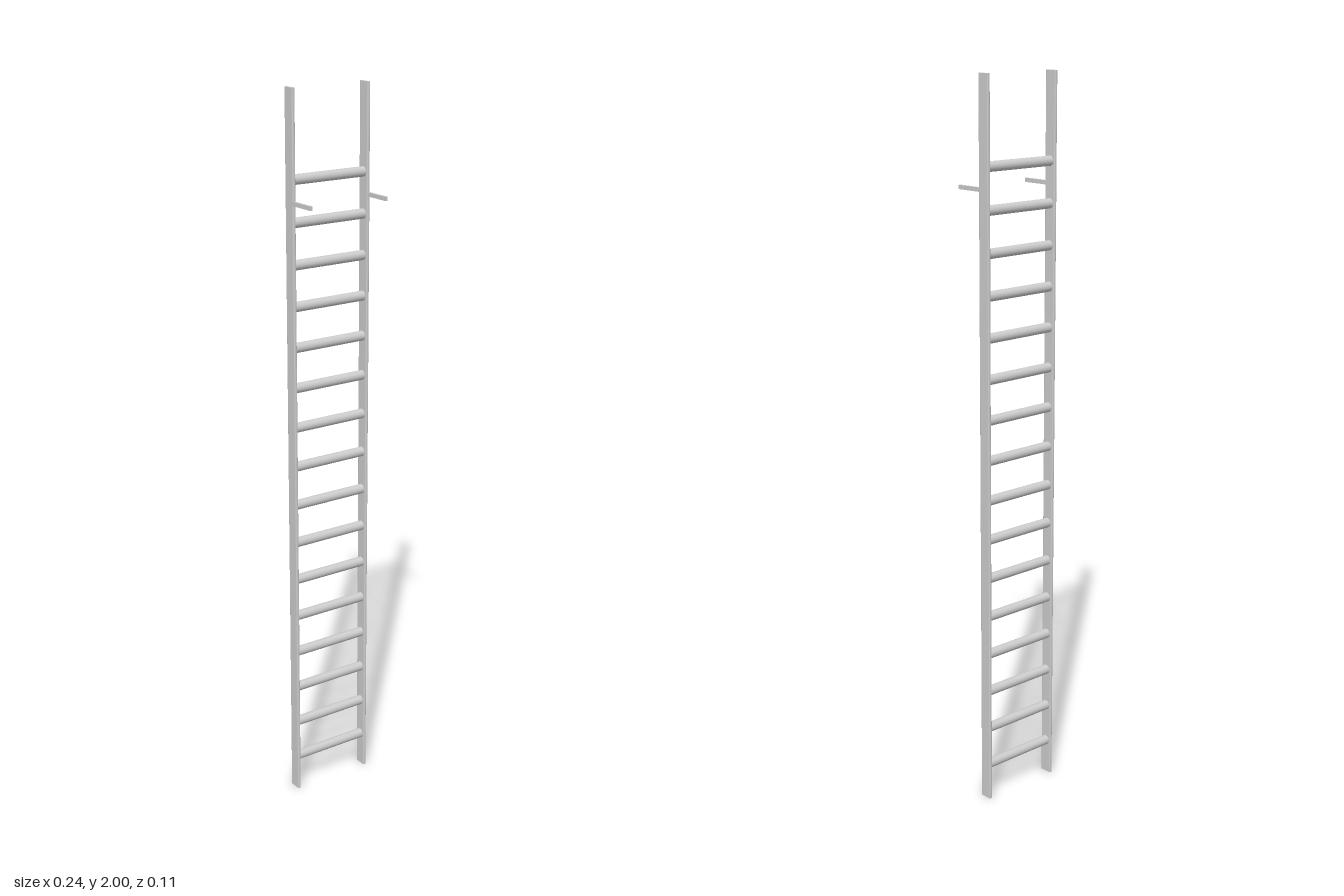
import * as THREE from 'three';

const material = new THREE.MeshStandardMaterial({ color: 0xcccccc });

function roundedRect(w, h, r) {
  const s = new THREE.Shape();
  const x = w / 2, y = h / 2;
  s.absarc(x - r, y - r, r, 0, Math.PI / 2);
  s.absarc(r - x, y - r, r, Math.PI / 2, Math.PI);
  s.absarc(r - x, r - y, r, Math.PI, Math.PI * 1.5);
  s.absarc(x - r, r - y, r, Math.PI * 1.5, Math.PI * 2);
  s.closePath();
  return s;
}

export function createModel() {
  const group = new THREE.Group();
  group.name = 'ladder';
  const add = (name, geometry, x, y, z) => {
    const mesh = new THREE.Mesh(geometry, material);
    mesh.name = name;
    mesh.position.set(x, y, z);
    group.add(mesh);
  };

  const ladderZ = -0.039;
  const frontZ = 0.057;

  // Flat side rails with rounded edges, standing upright
  const rail = new THREE.ExtrudeGeometry(roundedRect(0.009, 0.036, 0.003),
    { depth: 2, bevelEnabled: false, curveSegments: 4 });
  rail.rotateX(-Math.PI / 2);

  // Short stand-off bars reaching forward from the rails
  const barLength = frontZ - ladderZ - 0.015;
  const bar = new THREE.BoxGeometry(0.0075, 0.011, barLength);

  for (const [side, s] of [['left', 1], ['right', -1]]) {
    add(side + 'Rail', rail, s * 0.1165, 0, ladderZ);
    add(side + 'WallBar', bar, s * 0.117, 1.71, frontZ - barLength / 2);
  }

  // Evenly spaced round rungs between the rails
  const rung = new THREE.CylinderGeometry(0.0135, 0.0135, 0.23, 24);
  rung.rotateZ(Math.PI / 2);
  for (let i = 0; i < 16; i++) {
    add('rung' + (i + 1), rung, 0, 0.1 + i * 0.1112, ladderZ);
  }
  return group;
}
